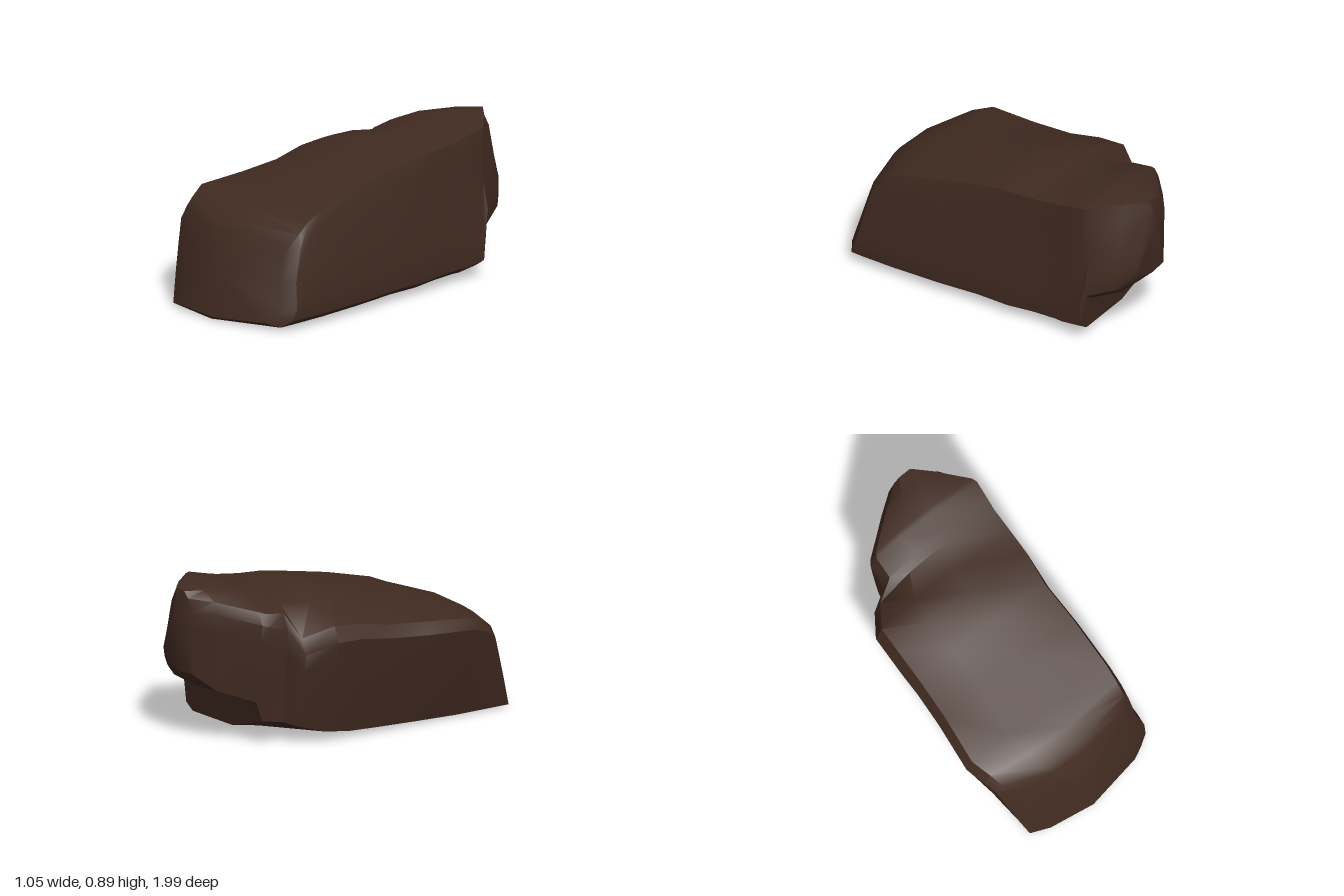
import * as THREE from 'three';
import { toCreasedNormals } from 'three/addons/utils/BufferGeometryUtils.js';

// Cross-sections from front to back:
// z, bottom-left x, bottom-left y, left x, left y,
// top-left y, crown y, top-right y, right x, underside y
const SECTIONS = [
  [1.0, -0.25, 0.03, -0.35, 0.38, 0.45, 0.49, 0.47, 0.44, 0.03],
  [0.97, -0.36, 0.01, -0.46, 0.45, 0.51, 0.54, 0.53, 0.515, 0.01],
  [0.85, -0.36, 0.01, -0.49, 0.50, 0.56, 0.60, 0.59, 0.52, 0.01],
  [0.55, -0.36, 0.01, -0.53, 0.54, 0.60, 0.64, 0.635, 0.525, 0.01],
  [0.25, -0.36, 0.02, -0.495, 0.55, 0.62, 0.72, 0.71, 0.525, 0.015],
  [0.0, -0.36, 0.03, -0.48, 0.57, 0.64, 0.78, 0.76, 0.515, 0.02],
  [-0.2, -0.36, 0.04, -0.48, 0.60, 0.68, 0.835, 0.79, 0.52, 0.02],
  [-0.36, -0.35, 0.06, -0.475, 0.60, 0.69, 0.82, 0.80, 0.505, 0.025],
  [-0.51, -0.28, 0.10, -0.37, 0.53, 0.62, 0.84, 0.82, 0.505, 0.03],
  [-0.56, -0.22, 0.12, -0.265, 0.66, 0.75, 0.85, 0.83, 0.51, 0.03],
  [-0.69, -0.20, 0.14, -0.26, 0.70, 0.77, 0.88, 0.86, 0.52, 0.05],
  [-0.72, -0.18, 0.25, -0.24, 0.71, 0.78, 0.885, 0.86, 0.51, 0.25],
  [-0.88, -0.02, 0.31, -0.04, 0.75, 0.82, 0.89, 0.87, 0.44, 0.31],
  [-0.97, 0.09, 0.40, 0.08, 0.75, 0.83, 0.88, 0.84, 0.35, 0.40],
];
const { lerp: mix, smoothstep } = THREE.MathUtils;

// One ring, clockwise as seen from the front, starting at the bottom left
function ring([z, xBL, yBL, xL, yL, yTL, yM, yR, xR, yB]) {
  // How far the right wall leans in at the top
  const inset = mix(0.035, 0.075, smoothstep(z, -0.4, 0)) + 0.08 * smoothstep(-z, 0.7, 0.9);
  const outline = [
    [xBL, yBL],
    [mix(xBL, xL, 0.42), mix(yBL, yL, 0.38)],
    [mix(xBL, xL, 0.78), mix(yBL, yL, 0.75)],
    [xL, yL],
    [xL + 0.04, yTL],
    [mix(xL, xR, 0.28), mix(yTL, yM, 0.7)],
    [mix(xL, xR, 0.55), yM],
    [xR - inset, yR],
    [xR - 0.65 * inset, mix(yB, yR, 0.87)],
    [xR - 0.035, mix(yB, yR, 0.5)],
    [xR, mix(yB, yR, 0.23)],
    [xR - 0.01, yB + 0.05],
    [xR - 0.07, yB + 0.01],
    [mix(xBL, xR, 0.4), mix(yBL, yB, 0.8) - 0.01],
  ];
  // Rounds the front in plan and leans it back
  const nose = Math.max(0, (z - 0.6) / 0.4);
  const lean = 0.32 * nose ** 0.7;
  return outline.map(([x, y]) => [x, Math.max(0, y), z - lean * y - 0.45 * nose * x * x]);
}

function rockGeometry() {
  const rings = SECTIONS.map(ring);
  const n = rings[0].length;
  const points = rings.flat();
  const index = [];
  for (let i = 0; i < rings.length - 1; i++) {
    for (let j = 0; j < n; j++) {
      const a = i * n + j, b = i * n + (j + 1) % n;
      index.push(a, b, a + n, b, b + n, a + n);
    }
  }
  // Slightly bulging end faces
  const front = points.push([0.02, 0.25, 0.935]) - 1;
  const back = points.push([0.21, 0.73, -1.0]) - 1;
  const last = (rings.length - 1) * n;
  for (let j = 0; j < n; j++) {
    const k = (j + 1) % n;
    index.push(front, k, j, back, last + j, last + k);
  }
  const geometry = new THREE.BufferGeometry();
  geometry.setAttribute('position', new THREE.Float32BufferAttribute(points.flat(), 3));
  geometry.setIndex(index);
  return toCreasedNormals(geometry, 0.6);
}

export function createModel() {
  const group = new THREE.Group();
  group.name = 'rock';
  const brown = new THREE.MeshStandardMaterial({ color: 0x412b21 });
  brown.name = 'dark brown stone';
  const boulder = new THREE.Mesh(rockGeometry(), brown);
  boulder.name = 'boulder';
  group.add(boulder);
  return group;
}
